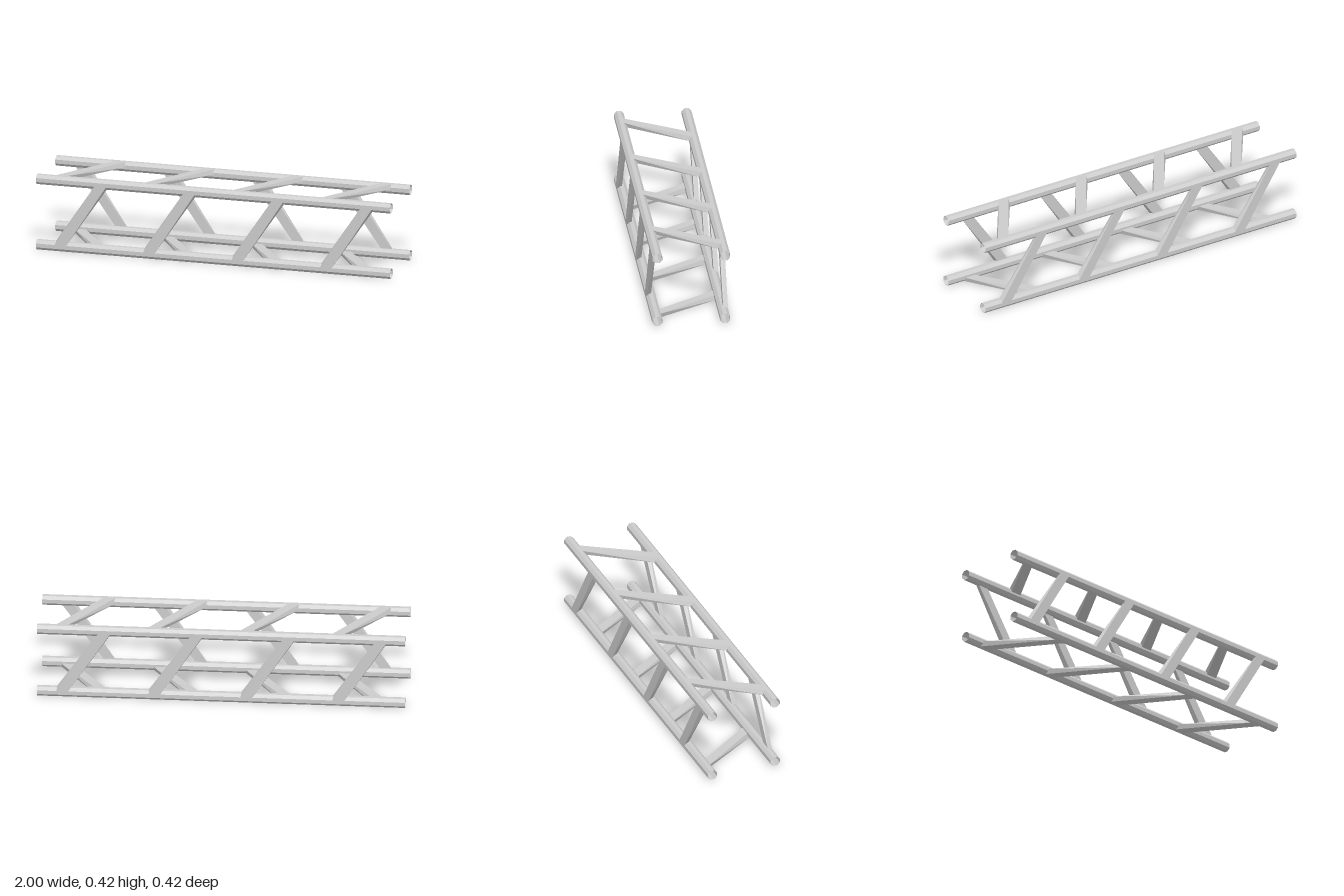
import * as THREE from 'three';

const HALF = 0.211;          // half of the truss's square section
const CHORD = 0.0265;        // half-width of a chord across its flats
const AXIS = HALF - CHORD;   // chord axis offset from the centre
const FLAT = CHORD * Math.tan(Math.PI / 8); // half of one chord facet

const material = new THREE.MeshStandardMaterial({
  color: 0xcccccc, flatShading: true, side: THREE.DoubleSide,
});

// Open eight-sided tube running along x
function chordGeometry() {
  const radius = CHORD / Math.cos(Math.PI / 8);
  return new THREE.CylinderGeometry(radius, radius, 2, 8, 1, true)
    .rotateY(Math.PI / 8)
    .rotateZ(Math.PI / 2);
}

// Slanted bar in the front plane, its ends mitred into the chords
function braceGeometry() {
  const geometry = new THREE.BoxGeometry(2, 2, 2);
  const p = geometry.attributes.position;
  for (let i = 0; i < p.count; i++) {
    const sx = p.getX(i), sy = p.getY(i), outer = p.getZ(i) > 0;
    p.setXYZ(
      i,
      sy * 0.112 + sx * 0.0325,
      sy * (outer ? AXIS - FLAT : AXIS - CHORD),
      outer ? HALF : AXIS,
    );
  }
  geometry.computeVertexNormals();
  return geometry;
}

export function createModel() {
  const truss = new THREE.Group();
  truss.name = 'truss';
  const chordShape = chordGeometry();
  const braceShape = braceGeometry();

  // Four corner chords
  for (const [yName, sy] of [['bottom', -1], ['top', 1]]) {
    for (const [zName, sz] of [['Front', 1], ['Back', -1]]) {
      const chord = new THREE.Mesh(chordShape, material);
      chord.name = `${yName}${zName}Chord`;
      chord.position.set(0, HALF + sy * AXIS, sz * AXIS);
      truss.add(chord);
    }
  }

  // The same row of four braces, turned onto each face of the truss
  ['front', 'top', 'back', 'bottom'].forEach((face, turn) => {
    const row = new THREE.Group();
    row.name = `${face}Braces`;
    row.position.y = HALF;
    row.rotation.x = -turn * Math.PI / 2;
    for (let i = 0; i < 4; i++) {
      const brace = new THREE.Mesh(braceShape, material);
      brace.name = `${face}Brace${i + 1}`;
      brace.position.x = -0.75 + i * 0.5;
      row.add(brace);
    }
    truss.add(row);
  });

  return truss;
}
